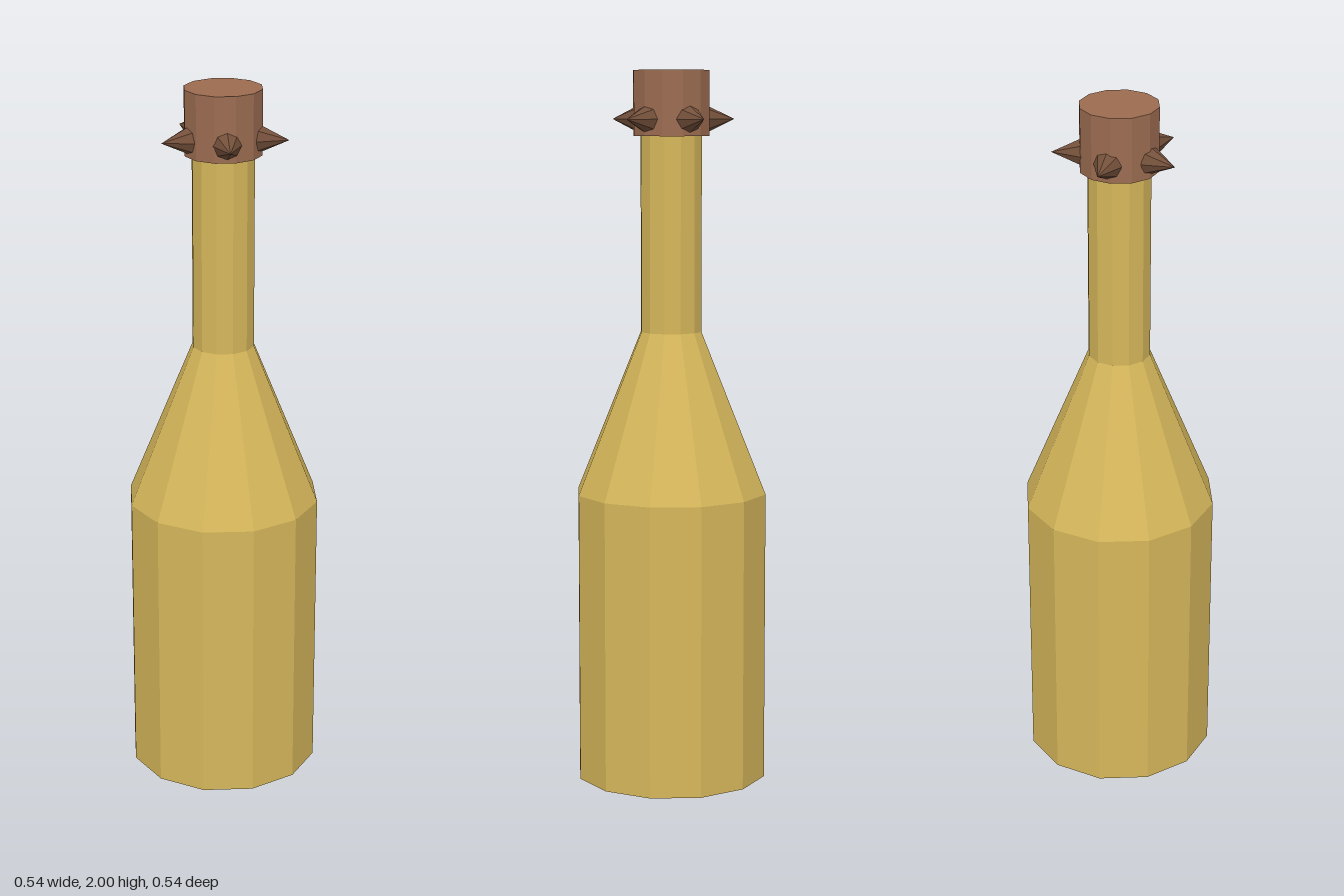
import * as THREE from 'three';

const SIDES = 12;

function material(name, color) {
  const m = new THREE.MeshStandardMaterial({ color, flatShading: true });
  m.name = name;
  return m;
}

function part(name, geometry, mat) {
  const mesh = new THREE.Mesh(geometry, mat);
  mesh.name = name;
  return mesh;
}

export function createModel() {
  const gold = material('gold glass', 0xd6b75b);
  const cork = material('cork brown', 0x9c6c51);
  const thorn = material('dark spike brown', 0x74503b);
  const group = new THREE.Group();
  group.name = 'bottle';

  // Faceted bottle: closed base, straight body, sloped shoulder, long neck
  const profile = [[0, 0], [0.272, 0], [0.272, 0.82], [0.087, 1.275], [0.087, 1.83]]
    .map(([r, y]) => new THREE.Vector2(r, y));
  group.add(part('bottleBody', new THREE.LatheGeometry(profile, SIDES), gold));

  // Stopper over the neck
  const stopper = part('stopper', new THREE.CylinderGeometry(0.108, 0.108, 0.18, SIDES), cork);
  stopper.position.y = 1.91;
  group.add(stopper);

  // Ring of five spikes pointing outwards
  const spikeGeometry = new THREE.ConeGeometry(0.039, 0.082, 8);
  spikeGeometry.rotateZ(-Math.PI / 2);
  spikeGeometry.translate(0.139, 0, 0);
  const spikes = new THREE.Group();
  spikes.name = 'spikes';
  spikes.position.y = 1.866;
  for (let i = 0; i < 5; i++) {
    const spike = part('spike' + (i + 1), spikeGeometry, thorn);
    spike.rotation.y = (i * Math.PI * 2) / 5;
    spikes.add(spike);
  }
  group.add(spikes);

  return group;
}
